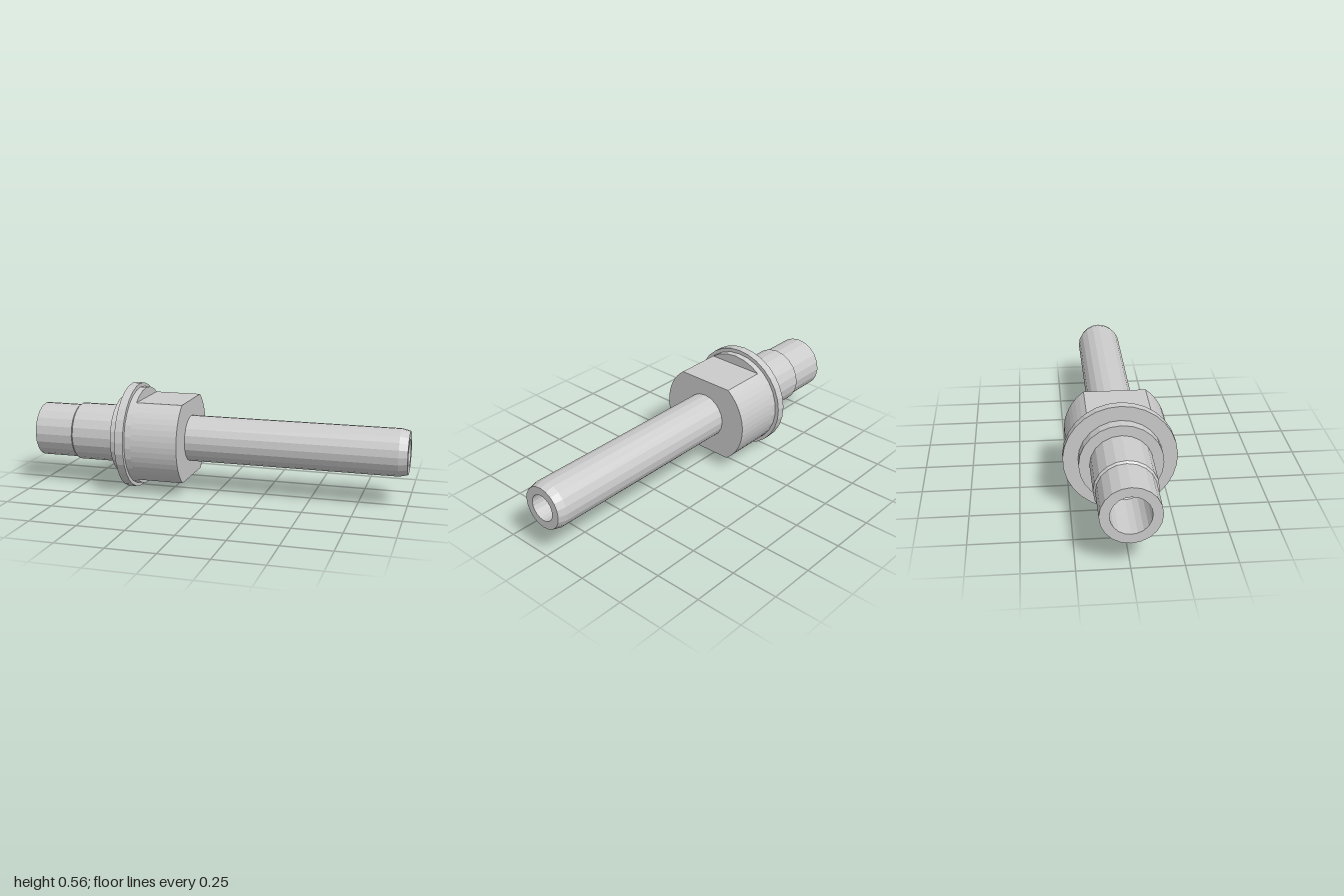
import * as THREE from 'three';

const AXIS_Y = 0.2825; // height of the shaft axis

export function createModel() {
  const group = new THREE.Group();
  const material = new THREE.MeshStandardMaterial({ color: 0xcccccc, flatShading: true });

  function add(name, geometry) {
    const mesh = new THREE.Mesh(geometry, material);
    mesh.name = name;
    mesh.position.y = AXIS_Y;
    group.add(mesh);
  }

  // Turned part along x; profile points are [x, radius], outer side running left to right
  function turned(name, sides, profile) {
    const points = profile.map(([x, r]) => new THREE.Vector2(r, x));
    add(name, new THREE.LatheGeometry(points, sides, -Math.PI / 2).rotateZ(-Math.PI / 2));
  }
  const disc = (name, sides, x0, x1, r) => turned(name, sides, [[x0, 0], [x0, r], [x1, r], [x1, 0]]);

  // Stepped tail with a drilled blind hole in its left end
  turned('tail', 20, [
    [-0.65, 0], [-0.71, 0.097], [-1, 0.097], [-1, 0.145], [-0.79, 0.145],
    [-0.78, 0.155], [-0.54, 0.155], [-0.54, 0],
  ]);

  // Shoulder, flange and the round base of the collar
  disc('shoulder', 24, -0.54, -0.485, 0.208);
  disc('flange', 29, -0.485, -0.44, 0.2825);
  disc('collarBase', 27, -0.44, -0.405, 0.262);

  // Collar with two wrench flats, top and bottom
  const radius = 0.262;
  const a = Math.asin(0.209 / radius);
  const shape = new THREE.Shape();
  shape.absarc(0, 0, radius, -a, a);
  shape.absarc(0, 0, radius, Math.PI - a, Math.PI + a);
  const collar = new THREE.ExtrudeGeometry(shape, { depth: 0.25, bevelEnabled: false, curveSegments: 8 });
  add('flattedCollar', collar.rotateY(Math.PI / 2).translate(-0.405, 0, 0));

  // Long rod with chamfered tip and a drilled blind hole
  turned('rod', 20, [
    [-0.155, 0], [-0.155, 0.123], [0.955, 0.123], [1, 0.112],
    [1, 0.07], [0.3, 0.07], [0.26, 0],
  ]);

  return group;
}
